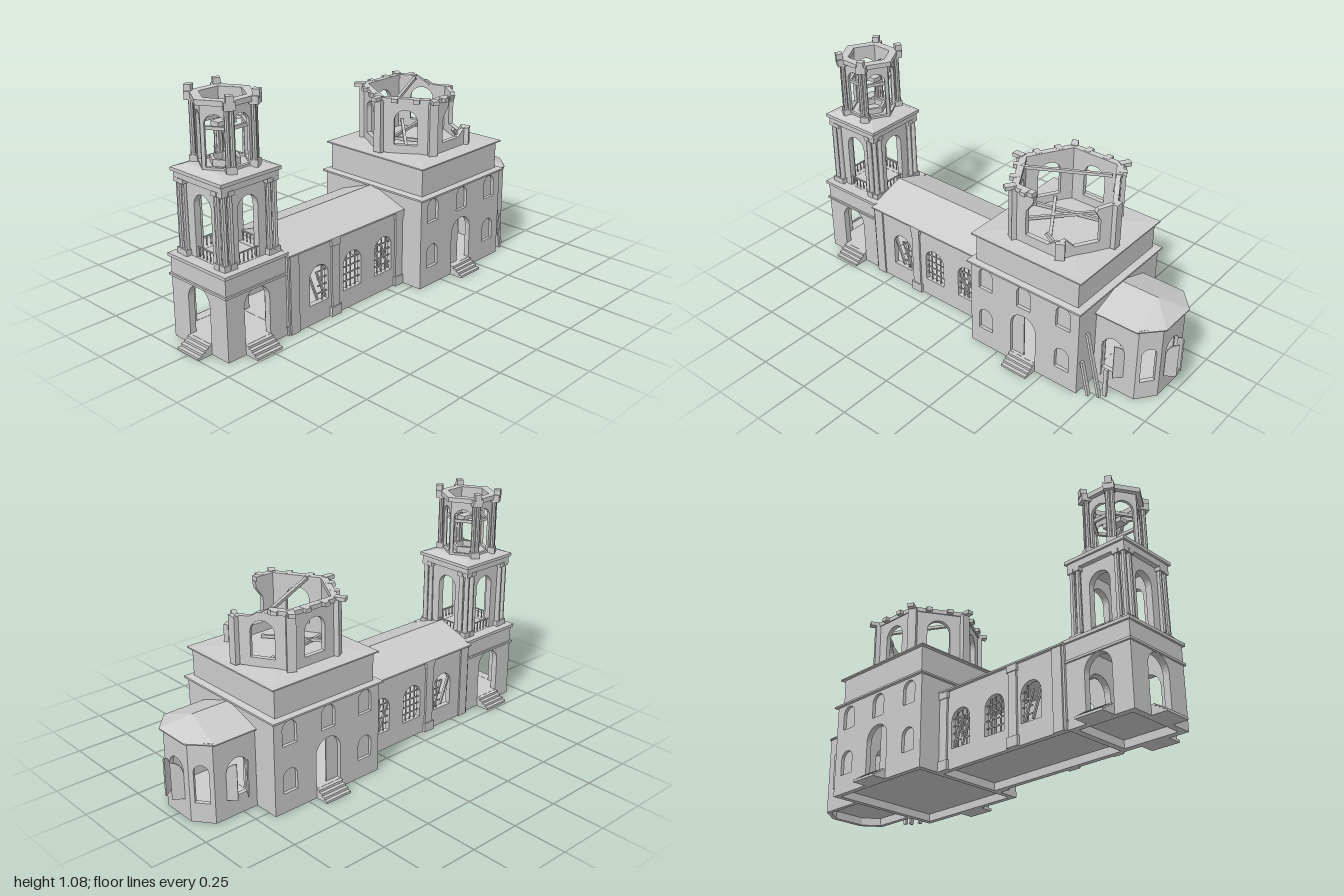
import * as THREE from 'three';
import { ConvexGeometry } from 'three/addons/geometries/ConvexGeometry.js';

const mat = new THREE.MeshStandardMaterial({ color: 0xcccccc, flatShading: true, side: THREE.DoubleSide });
const PI = Math.PI, SIGNS = [1, -1];

export function createModel() {
  const root = new THREE.Group();
  let part = root;
  const section = (name) => { part = new THREE.Group(); part.name = name; root.add(part); };
  const add = (name, geo, x = 0, y = 0, z = 0, ry = 0) => {
    const m = new THREE.Mesh(geo, mat);
    m.name = name; m.position.set(x, y, z); m.rotation.y = ry;
    part.add(m);
    return m;
  };
  // box standing on y
  const box = (name, w, h, d, x, y, z, ry = 0) => add(name, new THREE.BoxGeometry(w, h, d), x, y + h / 2, z, ry);
  // four-sided sloped roof between two rectangles
  const frustum = (name, w, d, scale, h, x, y, z) => {
    const g = new THREE.CylinderGeometry(scale * Math.SQRT1_2, Math.SQRT1_2, h, 4);
    g.rotateY(PI / 4); g.scale(w, 1, d);
    return add(name, g, x, y + h / 2, z);
  };
  // beam between two points
  const beam = (name, a, b, t = 0.012, d = t) => {
    const p = new THREE.Vector3(...a), q = new THREE.Vector3(...b);
    const m = add(name, new THREE.BoxGeometry(t, d, p.distanceTo(q)));
    m.position.copy(p).add(q).multiplyScalar(0.5);
    m.lookAt(q);
    return m;
  };
  // round-headed opening: centre, sill, width, height
  const arch = (cx, y0, w, h) => {
    const p = new THREE.Path(), r = w / 2;
    p.moveTo(cx - r, y0); p.lineTo(cx + r, y0); p.lineTo(cx + r, y0 + h - r);
    p.absarc(cx, y0 + h - r, r, 0, PI, false);
    p.lineTo(cx - r, y0);
    return p;
  };
  // wall panel with outer face through (x, z), facing angle th; top is an optional broken outline
  const panel = (name, w, h, holes, x, y, z, th, t = 0.025, top = [[w / 2, h], [-w / 2, h]]) => {
    const s = new THREE.Shape([[-w / 2, 0], [w / 2, 0], ...top].map((p) => new THREE.Vector2(...p)));
    s.holes = holes.map((o) => arch(...o));
    const g = new THREE.ExtrudeGeometry(s, { depth: t, bevelEnabled: false, curveSegments: 8 });
    g.translate(0, 0, -t);
    return add(name, g, x, y, z, th);
  };
  // half of an arched shutter, hinged at (x, z) and reaching along (dx, dz)
  const leaf = (name, x, y, z, dx, dz, h) => {
    const w = Math.hypot(dx, dz), s = new THREE.Shape();
    s.moveTo(0, 0); s.lineTo(w, 0); s.lineTo(w, h);
    s.quadraticCurveTo(0.1 * w, h - 0.1 * w, 0, h - w);
    add(name, new THREE.ExtrudeGeometry(s, { depth: 0.006, bevelEnabled: false, curveSegments: 4 }), x, y, z, Math.atan2(-dz, dx));
  };
  // four stairs going out along angle th
  const steps = (x, z, th, w = 0.135, out = 0.066) => {
    for (let i = 0; i < 4; i++) {
      const d = out * (1 - i / 4);
      box('step', w, 0.011, d, x + Math.sin(th) * d / 2, i * 0.011, z + Math.cos(th) * d / 2, th);
    }
  };
  const hexRing = (name, cx, y, r, w, h, keep = () => true) => {
    for (let i = 0; i < 6; i++) if (keep(i)) {
      const th = i * PI / 3, a = r * 0.866 - w / 2;
      box(name, r, h, w, cx + Math.sin(th) * a, y, Math.cos(th) * a, th);
    }
  };

  // ---- Bell tower, ground storey
  const bx = -0.77, tx = -0.763;
  section('towerBase');
  for (let i = 0; i < 4; i++) {
    const th = i * PI / 2, s = Math.sin(th), c = Math.cos(th);
    panel('towerBaseWall', i % 2 ? 0.34 : 0.32, 0.375, [[0, 0.045, 0.135, 0.235]], bx + s * 0.16, 0, c * 0.17, th, 0.03);
    if (i !== 1) steps(bx + s * 0.16, c * 0.17, th, 0.135, 0.07);
    box('stringCourse', i % 2 ? 0.356 : 0.336, 0.01, 0.012, bx + s * 0.162, 0.28, c * 0.172, th);
  }
  box('towerFloor', 0.31, 0.008, 0.33, bx, 0.036, 0);
  box('towerCornice', 0.338, 0.014, 0.36, bx, 0.365, 0);

  // ---- Bell tower, columned storey
  section('towerMiddle');
  for (let i = 0; i < 4; i++) {
    const th = i * PI / 2, s = Math.sin(th), c = Math.cos(th);
    panel('archedWall', 0.25, 0.33, [[0, 0.002, 0.105, 0.28]], tx + s * 0.125, 0.378, c * 0.125, th, 0.03);
    box('railing', 0.105, 0.005, 0.006, tx + s * 0.115, 0.42, c * 0.115, th);
    for (let k = -2; k <= 2; k++) {
      const o = k * 0.022;
      box('baluster', 0.004, 0.042, 0.004, tx + s * 0.115 + c * o, 0.38, c * 0.115 - s * o, th);
    }
  }
  beam('fallenBeam', [tx - 0.045, 0.39, 0.03], [tx + 0.03, 0.64, -0.02], 0.007);
  for (const sx of SIGNS) for (const sz of SIGNS)
    for (const [u, v] of [[0.133, 0.133], [0.1, 0.135], [0.135, 0.1]]) {
      const x = tx + sx * u, z = sz * v;
      add('column', new THREE.CylinderGeometry(0.011, 0.013, 0.33, 10), x, 0.545, z);
      box('columnBase', 0.031, 0.026, 0.031, x, 0.38, z);
      box('columnCapital', 0.029, 0.02, 0.029, x, 0.69, z);
    }
  box('entablature', 0.294, 0.03, 0.294, tx, 0.707, 0);
  box('upperCornice', 0.312, 0.015, 0.312, tx, 0.735, 0);
  frustum('skirtRoof', 0.312, 0.312, 0.72, 0.016, tx, 0.75, 0);

  // ---- Hexagonal belfry
  section('belfry');
  for (let i = 0; i < 6; i++) {
    const th = i * PI / 3, a = 0.117 * 0.866;
    panel('belfryWall', 0.117, 0.27, [[0, 0.014, 0.086, 0.215]], tx + Math.sin(th) * a, 0.762, Math.cos(th) * a, th, 0.014);
    // piers stand on the four front and back corners only
    if (i % 3 === 1) continue;
    const v = th + PI / 6, s = Math.sin(v), c = Math.cos(v);
    for (const o of [-0.01, 0.01])
      add('belfryColumn', new THREE.CylinderGeometry(0.01, 0.011, 0.26, 8), tx + s * 0.128 + c * o, 0.892, c * 0.128 - s * o);
    box('pierBase', 0.042, 0.03, 0.034, tx + s * 0.126, 0.762, c * 0.126, v);
    box('pierCapital', 0.046, 0.034, 0.04, tx + s * 0.132, 1.018, c * 0.132, v);
    box('finialBlock', 0.03, 0.035, 0.03, tx + s * 0.14, 1.043, c * 0.14, v);
  }
  hexRing('belfryCornice', tx, 1.03, 0.14, 0.036, 0.022);
  hexRing('tieRing', tx, 0.925, 0.104, 0.012, 0.014);
  hexRing('floorCurb', tx, 0.764, 0.065, 0.012, 0.03);
  box('bellBlock', 0.095, 0.02, 0.045, tx, 0.925, 0);

  // ---- Nave with barred windows
  section('nave');
  const nx = -0.255, windows = [-0.43, -0.225, -0.025];
  for (const s of SIGNS) {
    const th = s > 0 ? 0 : PI;
    panel('naveWall', 0.71, 0.37, windows.map((x) => [s * (x - nx), 0.09, 0.11, 0.175]), nx, 0, s * 0.18, th, 0.025);
    windows.forEach((x, i) => {
      const z = s * 0.168;
      for (const o of [-0.027, 0, 0.027]) if (i || o > 0) box('windowBar', 0.005, 0.165, 0.005, x + o, 0.09, z);
      for (let k = 1; k <= 4; k++) {
        const w = i ? 0.11 : 0.055;
        box('windowCrossbar', w, 0.005, 0.005, x + (0.11 - w) / 2, 0.09 + k * 0.034, z);
      }
      if (i !== 1) for (const o of [-0.03, 0.015])
        beam('brokenBar', [x + o - 0.02, 0.23, z], [x + o + 0.03, 0.1, z], 0.011, 0.008);
    });
    for (const x of [-0.335, 0.075]) {
      box('pilaster', 0.045, 0.33, 0.014, x, 0.03, s * 0.182);
      box('pilasterFoot', 0.06, 0.045, 0.022, x, 0, s * 0.183);
      box('pilasterHead', 0.055, 0.03, 0.02, x, 0.33, s * 0.183);
    }
    box('cornerPilaster', 0.05, 0.36, 0.012, -0.575, 0, s * 0.181);
  }
  box('naveFloor', 0.72, 0.008, 0.35, nx, 0.036, 0);
  const gable = new THREE.Shape([[-0.195, 0.36], [0.195, 0.36], [0.195, 0.367], [0, 0.438], [-0.195, 0.367]].map((p) => new THREE.Vector2(...p)));
  const roof = new THREE.ExtrudeGeometry(gable, { depth: 0.715, bevelEnabled: false });
  add('naveRoof', roof, -0.61, 0, 0, PI / 2);

  // ---- Main block
  section('mainBlock');
  const mx = 0.39;
  const niches = [[-0.208, 0.31, 0.075, 0.11], [0, 0.31, 0.075, 0.11], [0.208, 0.31, 0.075, 0.11],
    [-0.208, 0.09, 0.075, 0.11], [0.208, 0.09, 0.075, 0.11]];
  for (const s of SIGNS) {
    const th = s > 0 ? 0 : PI;
    panel('mainWall', 0.58, 0.435, [...niches, [0, 0.045, 0.135, 0.225]], mx, 0, s * 0.295, th, 0.025);
    for (const [u, y, w, h] of niches) box('nichePanel', w + 0.01, h + 0.008, 0.006, mx + u, y - 0.004, s * 0.277);
    steps(mx, s * 0.295, th);
    leaf('doorLeaf', mx - 0.0675, 0.045, s * 0.275, 0.064, 0, 0.222);
    panel('endWall', 0.59, 0.435, [[0, 0.045, 0.16, 0.26]], mx + s * 0.29, 0, 0, s * PI / 2, 0.025);
  }
  box('mainFloor', 0.56, 0.008, 0.57, mx, 0.036, 0);
  box('mainCornice', 0.605, 0.008, 0.62, mx, 0.43, 0);
  frustum('lowerSkirtRoof', 0.605, 0.62, 0.9, 0.006, mx, 0.436, 0);
  box('upperTier', 0.54, 0.14, 0.56, mx, 0.436, 0);
  box('tierEave', 0.575, 0.006, 0.59, mx, 0.572, 0);
  frustum('tierRoof', 0.575, 0.59, 0.55, 0.012, mx, 0.576, 0);

  // ---- Ruined hexagonal drum, open towards the front right
  section('drum');
  const dr = 0.25, h = dr / 2, low = 0.205, high = 0.24;
  const outlines = [
    [[h, 0.075], [0.09, 0.07], [0.06, 0.045], [-0.055, 0.045], [-0.055, 0.16], [-0.02, 0.21], [-0.015, high], [-h, high]],
    [[h, low + 0.01], [0.04, low], [0.03, 0.19], [0.052, 0.15], [0.052, 0.045], [-0.06, 0.045], [-0.1, 0.085], [-h, 0.075]],
    [[h, high], [-0.02, high], [-0.05, low + 0.015], [-h, low + 0.01]],
  ];
  for (let i = 0; i < 6; i++) {
    const th = i * PI / 3, a = dr * 0.866, s = Math.sin(th), c = Math.cos(th);
    panel('drumWall', dr, high, i < 2 ? [] : [[0, 0.04, 0.108, 0.165]], mx + s * a, 0.585, c * a, th, 0.022, outlines[i]);
    const v = th + PI / 6, vs = Math.sin(v), vc = Math.cos(v);
    box('cornerPier', 0.04, [0.08, 0.215][i] ?? 0.25, 0.022, mx + vs * 0.25, 0.585, vc * 0.25, v);
    if (i > 1) box('cornerBlock', 0.03, 0.018, 0.05, mx + vs * 0.262, 0.83, vc * 0.262, v);
    const brackets = [[-0.06], [], [0.06]][i] ?? [-0.05, 0.05];
    for (const o of brackets) box('bracket', 0.028, 0.018, 0.04, mx + s * 0.22 + c * o, 0.828, c * 0.22 - s * o, th);
  }
  hexRing('crownRing', mx, 0.825, 0.256, 0.03, 0.02, (i) => i > 2);
  beam('brokenCrown', [mx - 0.125, 0.835, 0.208], [mx - 0.02, 0.835, 0.208], 0.03, 0.02);
  beam('brokenCrown', [mx + 0.122, 0.835, -0.208], [mx + 0.165, 0.835, -0.13], 0.03, 0.02);
  beam('hangingCrown', [mx + 0.165, 0.838, -0.13], [mx + 0.19, 0.8, -0.07], 0.02, 0.014);
  // fallen rafters on and inside the drum
  for (const [a, b] of [
    [[0.18, 0.835, 0.07], [0.53, 0.835, -0.12]], [[0.22, 0.6, 0.1], [0.5, 0.62, -0.17]],
    [[0.24, 0.61, -0.12], [0.4, 0.6, 0.13]], [[0.2, 0.6, -0.04], [0.55, 0.61, -0.11]],
    [[0.5, 0.6, 0.19], [0.43, 0.67, 0.2]]]) beam('fallenRafter', a, b, 0.014);

  // ---- Apse
  section('apse');
  for (const s of SIGNS) {
    const th = s > 0 ? 0 : PI;
    panel('apseSideWall', 0.21, 0.37, [[-s * 0.01, 0.09, 0.105, 0.175]], 0.785, 0, s * 0.17, th, 0.02);
    const d = Math.atan2(0.085, 0.065);
    panel('apseDiagonalWall', 0.107, 0.37, [[0, 0.09, 0.066, 0.175]], 0.9225, 0, s * 0.1275, s > 0 ? d : PI - d, 0.02);
    leaf('endShutter', 0.955, 0.09, s * 0.05, 0.044, -s * 0.03, 0.172);
    leaf('sideShutter', 0.725, 0.09, s * 0.17, 0.025, s * 0.045, 0.17);
    leaf('sideShutter', 0.83, 0.09, s * 0.17, -0.03, s * 0.035, 0.17);
  }
  panel('apseEndWall', 0.17, 0.37, [[0, 0.09, 0.1, 0.175]], 0.955, 0, 0, PI / 2, 0.02);
  const plan = new THREE.Shape([[0.68, -0.165], [0.885, -0.165], [0.95, -0.083], [0.95, 0.083], [0.885, 0.165], [0.68, 0.165]]
    .map((p) => new THREE.Vector2(...p)));
  const floor = new THREE.ExtrudeGeometry(plan, { depth: 0.008, bevelEnabled: false });
  floor.rotateX(-PI / 2);
  add('apseFloor', floor, 0, 0.036, 0);
  const pts = [[0.68, 0.43, 0], [0.865, 0.43, 0]];
  for (const s of SIGNS) for (const y of [0.361, 0.366])
    pts.push([0.68, y, s * 0.182], [0.885, y, s * 0.182], [0.97, y, s * 0.09]);
  add('apseRoof', new ConvexGeometry(pts.map((p) => new THREE.Vector3(...p))));

  // ---- Planks leaning by the apse
  section('planks');
  for (const [a, b] of [
    [[0.73, 0.005, 0.275], [0.69, 0.17, 0.275]], [[0.77, 0.005, 0.253], [0.695, 0.31, 0.253]],
    [[0.785, 0.005, 0.232], [0.785, 0.15, 0.232]]]) beam('plank', a, b, 0.018, 0.012);

  return root;
}
